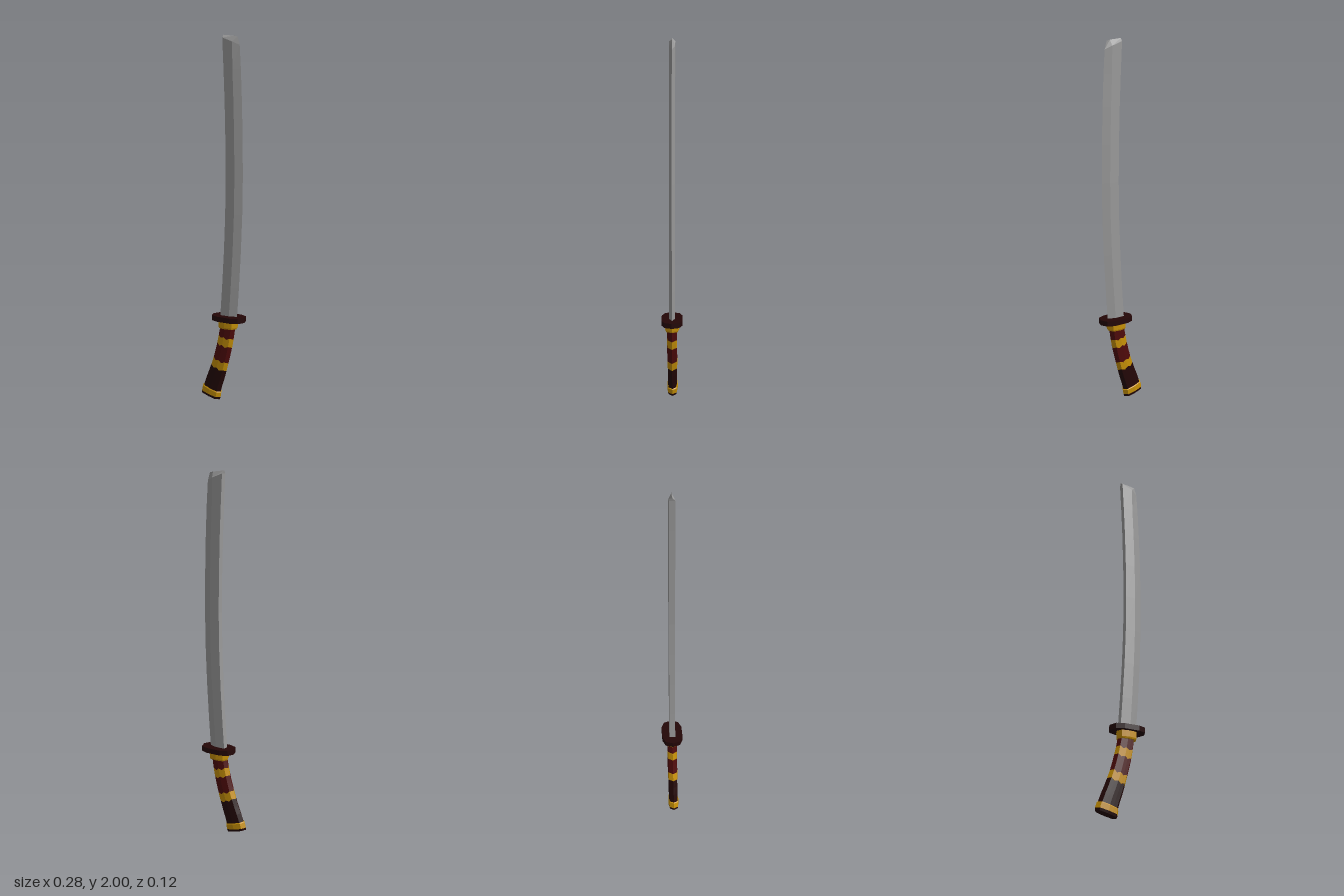
import * as THREE from 'three';

// Flat-shaded skin over a list of rings (ordered bottom to top), closed at both ends
function loft(rings) {
  const pos = [];
  const tri = (...pts) => pts.forEach((p) => pos.push(p.x, p.y, p.z));
  const n = rings[0].length;
  for (let r = 0; r < rings.length - 1; r++) {
    for (let i = 0; i < n; i++) {
      const j = (i + 1) % n;
      const [a, b, c, d] = [rings[r][i], rings[r][j], rings[r + 1][j], rings[r + 1][i]];
      tri(a, d, b);
      tri(b, d, c);
    }
  }
  const middle = (ring) => ring.reduce((s, p) => s.add(p), new THREE.Vector3()).divideScalar(n);
  const low = rings[0], high = rings[rings.length - 1];
  const cl = middle(low), ch = middle(high);
  for (let i = 0; i < n; i++) {
    const j = (i + 1) % n;
    tri(cl, low[i], low[j]);
    tri(ch, high[j], high[i]);
  }
  const g = new THREE.BufferGeometry();
  g.setAttribute('position', new THREE.Float32BufferAttribute(pos, 3));
  g.computeVertexNormals();
  return g;
}

// Half outline in unit size, mirrored front to back: [x, z, zigzag]
const front = [[0.74, 0.82, 0.5], [0.37, 0.92, -0.6], [0, 1, 0.4], [-0.37, 0.92, -0.6], [-0.74, 0.82, 0.5]];
const outline = [
  [1, 0, 0], ...front, [-1, 0, 0],
  ...front.map(([x, z, w]) => [x, -z, w]).reverse(),
];

// Grip centre line, from the butt up to the collar
const gripLine = new THREE.CatmullRomCurve3([
  [-0.08, 0.018], [-0.065, 0.075], [-0.037, 0.15], [-0.008, 0.24], [0.018, 0.34], [0.038, 0.45],
].map(([x, y]) => new THREE.Vector3(x, y, 0)));

// Cross-section of the grip at t, with an optional zigzag along the line
function gripRing(t, halfX, halfZ, zig = 0) {
  return outline.map(([x, z, w]) => {
    const u = t + w * zig;
    const dir = gripLine.getTangentAt(u);
    const side = new THREE.Vector3(dir.y, -dir.x, 0);
    const p = gripLine.getPointAt(u).addScaledVector(side, x * halfX);
    p.z = z * halfZ;
    return p;
  });
}

export function createModel() {
  const group = new THREE.Group();
  const material = (name, color) => {
    const m = new THREE.MeshStandardMaterial({ color });
    m.name = name;
    return m;
  };
  const steel = material('steel', 0x999999);
  const gold = material('gold', 0xc69006);
  const red = material('red wrap', 0x4e0a0a);
  const dark = material('dark brown', 0x230606);
  const add = (name, geometry, mat) => {
    const mesh = new THREE.Mesh(geometry, mat);
    mesh.name = name;
    group.add(mesh);
  };

  // Blade: spine, flat and bevelled edge; each station is [y, spine x]
  const stations = [
    [0.47, -0.006], [0.65, 0.007], [0.85, 0.019], [1.05, 0.027], [1.25, 0.03],
    [1.45, 0.028], [1.65, 0.023], [1.82, 0.016],
  ];
  const bladeRing = (spine, ridge, edge, t) => [
    [edge, 0], [ridge, t], [spine, t], [spine, -t], [ridge, -t],
  ].map(([[x, y], z]) => new THREE.Vector3(x, y, z));
  const bladeRings = stations.map(([y, x]) => bladeRing([x, y], [x + 0.056, y], [x + 0.099, y], 0.016));
  bladeRings.push(bladeRing([0.008, 1.985], [0.07, 1.963], [0.107, 1.945], 0.016));
  bladeRings.push(bladeRing([0.005, 2], [0.074, 1.993], [0.094, 1.988], 0.0005));
  add('blade', loft(bladeRings), steel);

  // Guard plate
  const guardOutline = [
    [0.14, 0], [0.125, 0.041], [0.083, 0.058], [-0.002, 0.058], [-0.044, 0.041],
    [-0.059, 0], [-0.044, -0.041], [-0.002, -0.058], [0.083, -0.058], [0.125, -0.041],
  ];
  const guardRing = (y) => guardOutline.map(([x, z]) => new THREE.Vector3(x, y, z));
  add('guard', loft([guardRing(0.462), guardRing(0.49)]), dark);

  // Collar under the guard
  const collarRing = (y, hx, hz) => outline.map(([x, z]) => new THREE.Vector3(0.037 + x * hx, y, z * hz));
  add('collar', loft([
    collarRing(0.42, 0.053, 0.037), collarRing(0.428, 0.056, 0.04), collarRing(0.464, 0.058, 0.04),
  ]), gold);

  // Grip: plain butt end, then wrapped bands with zigzag borders
  const Z = 0.022;
  const bands = [
    ['lowerGrip', dark, 0.1, 0.4, 0, Z, 0.057, 0.052, 0.026],
    ['lowerGoldBand', gold, 0.4, 0.505, Z, Z, 0.052, 0.05, 0.028],
    ['middleRedBand', red, 0.505, 0.71, Z, Z, 0.05, 0.049, 0.028],
    ['upperGoldBand', gold, 0.71, 0.815, Z, Z, 0.049, 0.048, 0.028],
    ['upperRedBand', red, 0.815, 0.96, Z, 0, 0.048, 0.046, 0.028],
  ];
  for (const [name, mat, t0, t1, z0, z1, hx0, hx1, hz] of bands) {
    const rings = [];
    for (let i = 0; i <= 3; i++) {
      const mix = (a, b) => a + (b - a) * i / 3;
      rings.push(gripRing(mix(t0, t1), mix(hx0, hx1), hz, mix(z0, z1)));
    }
    add(name, loft(rings), mat);
  }

  // Pommel ring and its dark end cap
  add('pommel', loft([
    gripRing(0.03, 0.064, 0.03), gripRing(0.095, 0.062, 0.03), gripRing(0.105, 0.057, 0.027),
  ]), gold);
  add('pommelCap', loft([gripRing(0, 0.061, 0.027), gripRing(0.03, 0.064, 0.03)]), dark);

  // Rest the lowest point on the ground
  const box = new THREE.Box3().setFromObject(group);
  group.children.forEach((m) => { m.geometry.translate(0, -box.min.y, 0); });
  return group;
}
